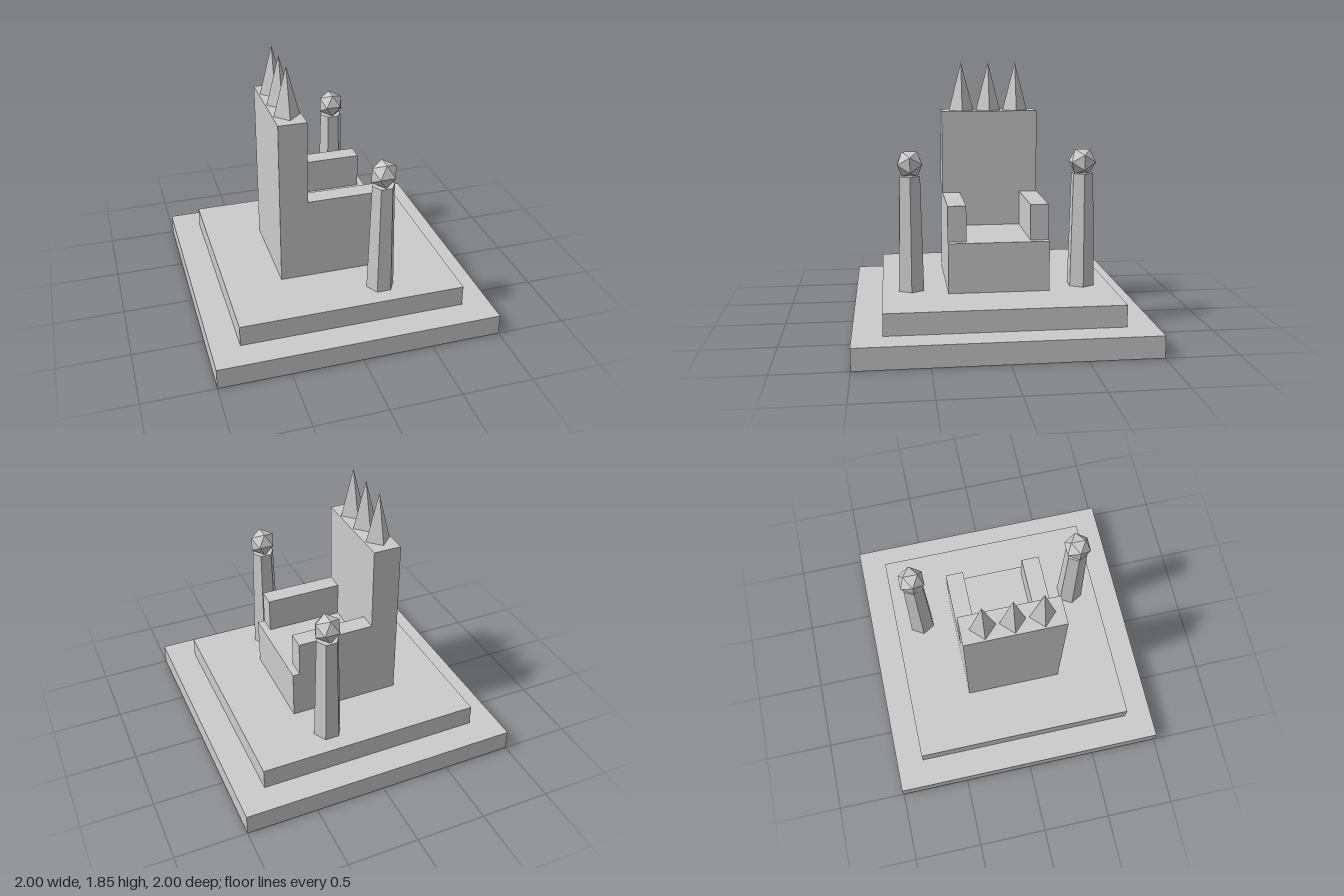
import * as THREE from 'three';

export function createModel() {
  const model = new THREE.Group();
  const stone = new THREE.MeshStandardMaterial({ color: 0xcccccc });
  stone.name = 'greyStone';

  const add = (name, geometry, x = 0, y = 0, z = 0) => {
    // separate corners so every facet shades flat
    const flat = geometry.index ? geometry.toNonIndexed() : geometry;
    flat.computeVertexNormals();
    const mesh = new THREE.Mesh(flat, stone);
    mesh.name = name;
    mesh.position.set(x, y, z);
    model.add(mesh);
  };

  // box given by its limits on each axis
  const block = (name, [x0, x1], [y0, y1], [z0, z1]) =>
    add(name, new THREE.BoxGeometry(x1 - x0, y1 - y0, z1 - z0),
      (x0 + x1) / 2, (y0 + y1) / 2, (z0 + z1) / 2);

  // stepped platform
  block('lowerStep', [-1, 1], [0, 0.15], [-1, 1]);
  block('upperStep', [-0.8, 0.8], [0.15, 0.3], [-0.8, 0.8]);

  // throne
  block('seat', [-0.2, 0.4], [0.3, 0.65], [-0.35, 0.35]);
  block('backrest', [-0.4, -0.2], [0.3, 1.5], [-0.35, 0.35]);
  block('leftArmrest', [-0.2, 0.35], [0.65, 0.9], [0.222, 0.35]);
  block('rightArmrest', [-0.2, 0.35], [0.65, 0.9], [-0.35, -0.222]);

  // spikes along the top of the backrest
  for (const z of [-0.2, 0, 0.2]) {
    add('spike', new THREE.ConeGeometry(0.09, 0.35, 4), -0.3, 1.675, z);
  }

  // six-sided pillars, each topped with a faceted orb
  for (const z of [-0.6, 0.6]) {
    add('pillar', new THREE.CylinderGeometry(0.08, 0.1, 0.8, 6).rotateY(Math.PI / 6), 0.25, 0.7, z);
    add('orb', new THREE.IcosahedronGeometry(0.1, 0).rotateY(Math.PI / 2), 0.25, 1.18, z);
  }

  return model;
}
